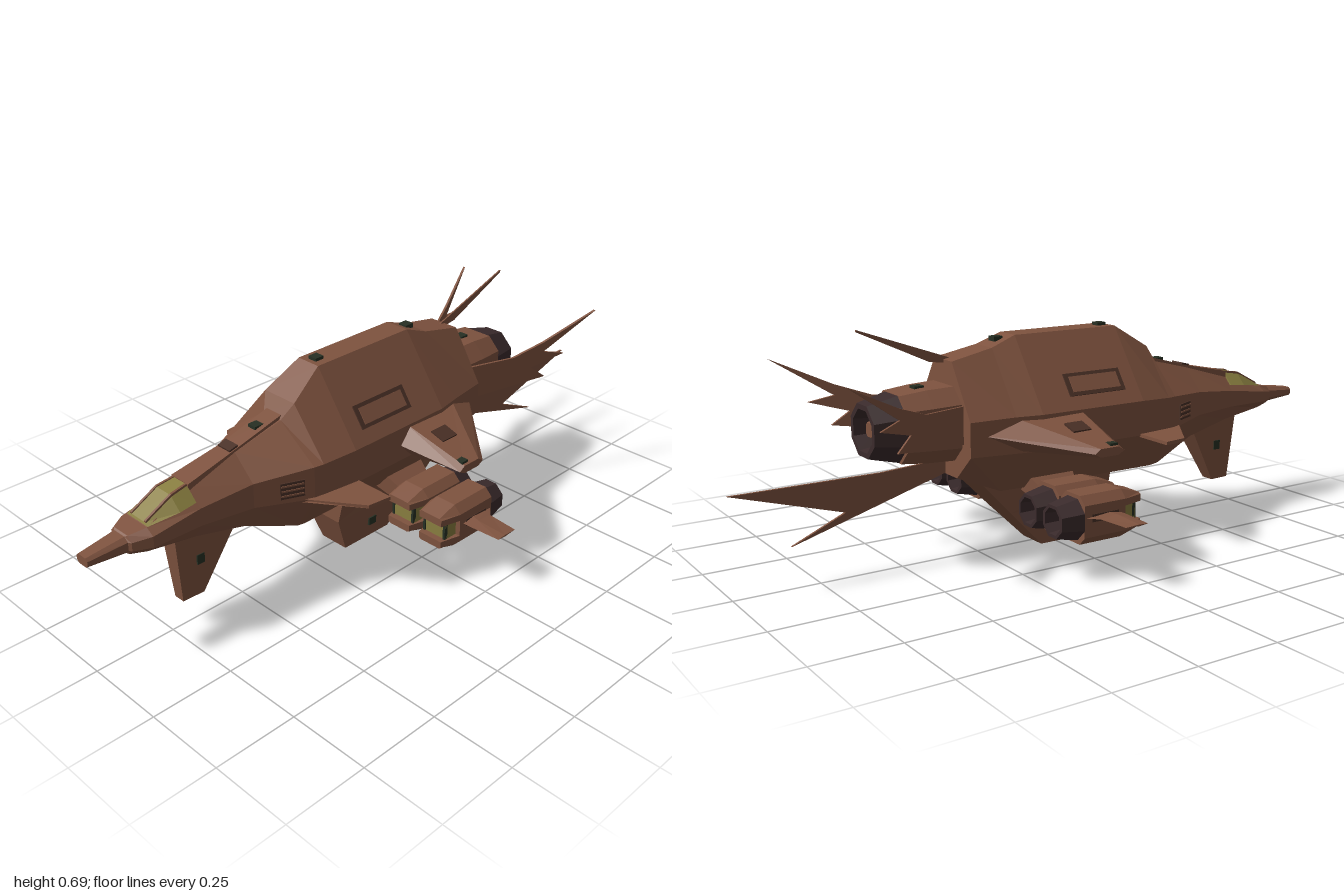
import * as THREE from 'three';

const mat = (name, color, side = THREE.FrontSide) => {
  const m = new THREE.MeshStandardMaterial({ color, flatShading: true, side });
  m.name = name;
  return m;
};

// Solid through matching rings of [x, y, z] points, capped at both ends, facing outward
function loft(rings) {
  const tris = [], n = rings[0].length;
  for (let i = 0; i < rings.length - 1; i++) {
    for (let j = 0; j < n; j++) {
      const k = (j + 1) % n;
      const a = rings[i][j], b = rings[i][k], c = rings[i + 1][k], d = rings[i + 1][j];
      tris.push([a, d, b], [b, d, c]);
    }
  }
  const first = rings[0], last = rings[rings.length - 1];
  for (let j = 1; j < n - 1; j++) {
    tris.push([first[0], first[j], first[j + 1]], [last[0], last[j + 1], last[j]]);
  }
  let volume = 0;
  const [a, b, c] = [new THREE.Vector3(), new THREE.Vector3(), new THREE.Vector3()];
  for (const t of tris) volume += a.fromArray(t[0]).dot(b.fromArray(t[1]).cross(c.fromArray(t[2])));
  if (volume < 0) tris.forEach(t => t.reverse());
  const geo = new THREE.BufferGeometry();
  geo.setAttribute('position', new THREE.Float32BufferAttribute(tris.flat(2), 3));
  geo.computeVertexNormals();
  return geo;
}

// Mirror image across x = 0 with the corner order restored
function mirrored(geo) {
  const g = geo.index ? geo.toNonIndexed() : geo.clone();
  g.scale(-1, 1, 1);
  const p = g.attributes.position, v = new THREE.Vector3(), w = new THREE.Vector3();
  for (let i = 0; i < p.count; i += 3) {
    v.fromBufferAttribute(p, i + 1);
    w.fromBufferAttribute(p, i + 2);
    p.setXYZ(i + 1, w.x, w.y, w.z);
    p.setXYZ(i + 2, v.x, v.y, v.z);
  }
  g.computeVertexNormals();
  return g;
}

// Eight-sided hull section: flat top, sloped shoulders, upright sides, flat bottom
const section = (z, tw, yt, w, ys, yl, bw, yb) => [
  [w, yl, z], [w, ys, z], [tw, yt, z], [-tw, yt, z],
  [-w, ys, z], [-w, yl, z], [-bw, yb, z], [bw, yb, z]];

// Chamfered rectangle section
const oct = (cx, cy, z, hw, hh, cut) => [
  [hw, -hh + cut], [hw, hh - cut], [hw - cut, hh], [cut - hw, hh],
  [-hw, hh - cut], [-hw, cut - hh], [cut - hw, -hh], [hw - cut, -hh]
].map(([x, y]) => [cx + x, cy + y, z]);

const rect = (x0, x1, y0, y1, z) => [[x0, y0, z], [x1, y0, z], [x1, y1, z], [x0, y1, z]];

function box(w, h, d, x, y, z, rx = 0, ry = 0, rz = 0) {
  const g = new THREE.BoxGeometry(w, h, d);
  g.rotateX(rx).rotateY(ry).rotateZ(rz);
  return g.translate(x, y, z);
}

// Hollow eight-sided exhaust, pointing backward
function exhaust(x, y, z, r0, r1, len) {
  const pts = [[r0, 0], [r1, len], [r1 * 0.8, len], [r1 * 0.68, len * 0.35], [0, len * 0.35]];
  const g = new THREE.LatheGeometry(pts.map(p => new THREE.Vector2(...p)), 8, Math.PI / 8);
  return g.rotateX(-Math.PI / 2).translate(x, y, z);
}

// Thin upright fin from a [z, y] outline; x follows z along a straight line
function fin(outline, x0, slope, zRoot, t) {
  const shape = new THREE.Shape(outline.map(p => new THREE.Vector2(...p)));
  const g = new THREE.ExtrudeGeometry(shape, { depth: t, bevelEnabled: false });
  const p = g.attributes.position;
  for (let i = 0; i < p.count; i++) {
    const z = p.getX(i);
    p.setXYZ(i, x0 + (zRoot - z) * slope + t / 2 - p.getZ(i), p.getY(i), z);
  }
  g.computeVertexNormals();
  return g;
}

export function createModel() {
  const model = new THREE.Group();
  model.name = 'spaceship';
  const hullMat = mat('rust brown hull', 0x7f533f);
  const finMat = mat('rust brown fins', 0x7f533f, THREE.DoubleSide);
  const recess = mat('dark brown recess', 0x4a3026);
  const glass = mat('olive yellow glass', 0x8a7f40);
  const metal = mat('dark exhaust metal', 0x3b2b2c, THREE.DoubleSide);
  const lamp = mat('dark green fittings', 0x273024);

  const add = (name, geo, m) => {
    const mesh = new THREE.Mesh(geo, m);
    mesh.name = name;
    model.add(mesh);
  };
  const pair = (name, geo, m) => {
    add(name + 'Left', geo, m);
    add(name + 'Right', mirrored(geo), m);
  };

  // Main hull, nose to tail
  add('hull', loft([
    section(1.0, 0.016, 0.368, 0.024, 0.36, 0.348, 0.016, 0.34),
    section(0.885, 0.022, 0.382, 0.036, 0.37, 0.345, 0.022, 0.332),
    section(0.88, 0.03, 0.386, 0.045, 0.37, 0.345, 0.03, 0.33),
    section(0.83, 0.045, 0.395, 0.07, 0.378, 0.345, 0.04, 0.32),
    section(0.68, 0.03, 0.445, 0.075, 0.398, 0.345, 0.045, 0.298),
    section(0.52, 0.028, 0.485, 0.1, 0.415, 0.34, 0.055, 0.262),
    section(0.36, 0.035, 0.525, 0.17, 0.43, 0.33, 0.09, 0.205),
    section(0.33, 0.06, 0.575, 0.176, 0.43, 0.33, 0.09, 0.2),
    section(0.22, 0.04, 0.645, 0.19, 0.435, 0.33, 0.09, 0.2),
    section(-0.14, 0.04, 0.645, 0.19, 0.435, 0.33, 0.09, 0.2),
    section(-0.22, 0.045, 0.615, 0.175, 0.435, 0.33, 0.085, 0.2),
    section(-0.355, 0.05, 0.588, 0.15, 0.43, 0.33, 0.07, 0.255),
  ]), hullMat);

  // Canopy with frame bars
  add('canopy', loft([
    [[0.046, 0.396, 0.828], [0.03, 0.402, 0.825], [-0.03, 0.402, 0.825], [-0.046, 0.396, 0.828]],
    [[0.068, 0.41, 0.74], [0.03, 0.447, 0.74], [-0.03, 0.447, 0.74], [-0.068, 0.41, 0.74]],
    [[0.066, 0.415, 0.685], [0.026, 0.456, 0.685], [-0.026, 0.456, 0.685], [-0.066, 0.415, 0.685]],
  ]), glass);
  pair('canopyFrame', loft([rect(0.027, 0.034, 0.4, 0.406, 0.825),
    rect(0.027, 0.034, 0.443, 0.45, 0.74), rect(0.023, 0.03, 0.452, 0.459, 0.68)]), hullMat);
  add('cockpitSpine', loft([rect(-0.036, 0.036, 0.43, 0.458, 0.686),
    rect(-0.028, 0.028, 0.47, 0.492, 0.52), rect(-0.03, 0.03, 0.51, 0.538, 0.35)]), hullMat);

  // Chin fin and belly keel
  add('chinFin', loft([
    [[0.018, 0.09, 0.72], [-0.018, 0.09, 0.72], [-0.022, 0.09, 0.65], [0.022, 0.09, 0.65]],
    [[0.03, 0.32, 0.74], [-0.03, 0.32, 0.74], [-0.045, 0.3, 0.53], [0.045, 0.3, 0.53]],
  ]), hullMat);
  add('keel', loft([
    [[0.05, 0, 0.13], [-0.05, 0, 0.13], [-0.05, 0, -0.055], [0.05, 0, -0.055]],
    [[0.068, 0.12, 0.175], [-0.068, 0.12, 0.175], [-0.068, 0.12, -0.175], [0.068, 0.12, -0.175]],
    [[0.1, 0.25, 0.175], [-0.1, 0.25, 0.175], [-0.08, 0.25, -0.3], [0.08, 0.25, -0.3]],
  ]), hullMat);

  // Canards, main wings and pod winglets
  pair('canard', loft([0.325, 0.335].map(y =>
    [[0.14, y, 0.4], [0.17, y, 0.37], [0.305, y, 0.285], [0.315, y, 0.21], [0.14, y, 0.21]])), hullMat);
  pair('wing', loft([
    [[0.17, 0.38, 0.04], [0.17, 0.432, 0], [0.15, 0.432, -0.22], [0.13, 0.39, -0.33], [0.15, 0.335, -0.22], [0.17, 0.335, 0]],
    [[0.385, 0.354, 0], [0.385, 0.367, -0.02], [0.385, 0.367, -0.08], [0.385, 0.354, -0.1], [0.385, 0.343, -0.08], [0.385, 0.343, -0.02]],
  ]), hullMat);
  pair('podWinglet', loft([
    [[0.38, 0.18, -0.015], [0.38, 0.188, -0.06], [0.38, 0.18, -0.15], [0.38, 0.17, -0.06]],
    [[0.42, 0.18, -0.015], [0.42, 0.186, -0.05], [0.42, 0.18, -0.105], [0.42, 0.173, -0.05]],
    [[0.52, 0.18, -0.02], [0.52, 0.182, -0.05], [0.52, 0.18, -0.095], [0.52, 0.177, -0.05]],
  ]), hullMat);

  // Pylons and twin engine pods on each side
  pair('pylon', loft([
    [[0.06, 0.27, 0.03], [0.06, 0.2, 0.03], [0.06, 0.2, -0.15], [0.06, 0.27, -0.15]],
    [[0.165, 0.2, 0], [0.165, 0.15, 0], [0.165, 0.15, -0.12], [0.165, 0.2, -0.12]],
  ]), hullMat);
  pair('podLink', box(0.04, 0.05, 0.1, 0.274, 0.17, -0.07), hullMat);
  for (const [name, x] of [['inner', 0.212], ['outer', 0.336]]) {
    pair(name + 'PodBody', loft([oct(x, 0.17, 0, 0.058, 0.07, 0.024), oct(x, 0.17, -0.14, 0.058, 0.07, 0.024)]), hullMat);
    for (const s of [1, -1]) {
      const jaw = (z, hw, top, tw) => [[x - hw, 0.17 + s * 0.026, z], [x + hw, 0.17 + s * 0.026, z],
        [x + hw, 0.17 + s * 0.046, z], [x + tw, 0.17 + s * top, z], [x - tw, 0.17 + s * top, z], [x - hw, 0.17 + s * 0.046, z]];
      pair(name + (s > 0 ? 'UpperJaw' : 'LowerJaw'), loft([jaw(0.065, 0.042, 0.05, 0.034), jaw(0, 0.058, 0.07, 0.034)]), hullMat);
    }
    pair(name + 'Intake', box(0.084, 0.052, 0.05, x, 0.17, 0.02), glass);
    for (const s of [1, -1]) {
      pair(name + 'IntakePost', box(0.008, 0.052, 0.012, x + s * 0.038, 0.17, 0.042), lamp);
      pair(name + 'PodSlot', box(0.004, 0.022, 0.09, x + s * 0.058, 0.178, -0.07), recess);
    }
    pair(name + 'PodExhaust', exhaust(x, 0.17, -0.14, 0.064, 0.05, 0.068), metal);
  }

  // Tail engine
  add('engineHousing', loft([oct(0, 0.412, -0.33, 0.105, 0.108, 0.045),
    oct(0, 0.412, -0.44, 0.1, 0.104, 0.045), oct(0, 0.412, -0.52, 0.092, 0.096, 0.04)]), hullMat);
  add('engineExhaust', exhaust(0, 0.412, -0.515, 0.104, 0.08, 0.095), metal);
  add('engineHub', loft([oct(0, 0.412, -0.54, 0.035, 0.035, 0.014), oct(0, 0.412, -0.59, 0.02, 0.02, 0.008)]), hullMat);

  // Tail fins and antenna
  pair('tailFin', fin([[-0.34, 0.47], [-0.5, 0.475], [-0.6, 0.51], [-0.77, 0.59], [-0.6, 0.478],
    [-0.67, 0.46], [-0.56, 0.43], [-0.61, 0.39], [-0.34, 0.36]], 0.11, 0.4, -0.36, 0.008), finMat);
  add('ventralFin', fin([[-0.34, 0.3], [-0.56, 0.287], [-1.0, 0.287], [-0.67, 0.19], [-0.83, 0.12], [-0.34, 0.262]],
    0, 0, 0, 0.008), finMat);
  add('antenna', fin([[-0.33, 0.575], [-0.33, 0.59], [-0.62, 0.692], [-0.62, 0.686], [-0.4, 0.585]], 0, 0, 0, 0.005), finMat);

  // Side panels, vents and small fittings
  pair('panelFrame', box(0.008, 0.072, 0.2, 0.143, 0.5, 0.07, 0, 0, 0.61), recess);
  pair('panel', box(0.008, 0.05, 0.17, 0.145, 0.501, 0.07, 0, 0, 0.61), hullMat);
  pair('cheekVent', box(0.07, 0.05, 0.006, 0.145, 0.375, 0.42, 0, 1.16), recess);
  for (const y of [0.36, 0.375, 0.39]) {
    pair('cheekVentSlat', box(0.066, 0.005, 0.01, 0.145, y, 0.42, 0, 1.16), hullMat);
  }
  pair('wingVent', box(0.05, 0.006, 0.06, 0.26, 0.405, -0.07, 0, 0, -0.3), recess);
  add('deckVent', box(0.05, 0.006, 0.03, 0, 0.495, 0.52, 0.25), recess);
  for (const [y, z] of [[0.517, 0.42], [0.647, 0.19], [0.634, -0.18], [0.515, -0.44]]) {
    add('topLamp', box(0.03, 0.014, 0.03, 0, y, z), lamp);
  }
  pair('wingLamp', box(0.025, 0.01, 0.025, 0.365, 0.371, -0.03), lamp);
  pair('chinLamp', box(0.012, 0.03, 0.025, 0.027, 0.21, 0.66), lamp);
  pair('keelLamp', box(0.016, 0.025, 0.03, 0.057, 0.06, 0.025), lamp);
  pair('engineLamp', box(0.014, 0.025, 0.03, 0.1, 0.43, -0.44), lamp);
  return model;
}
